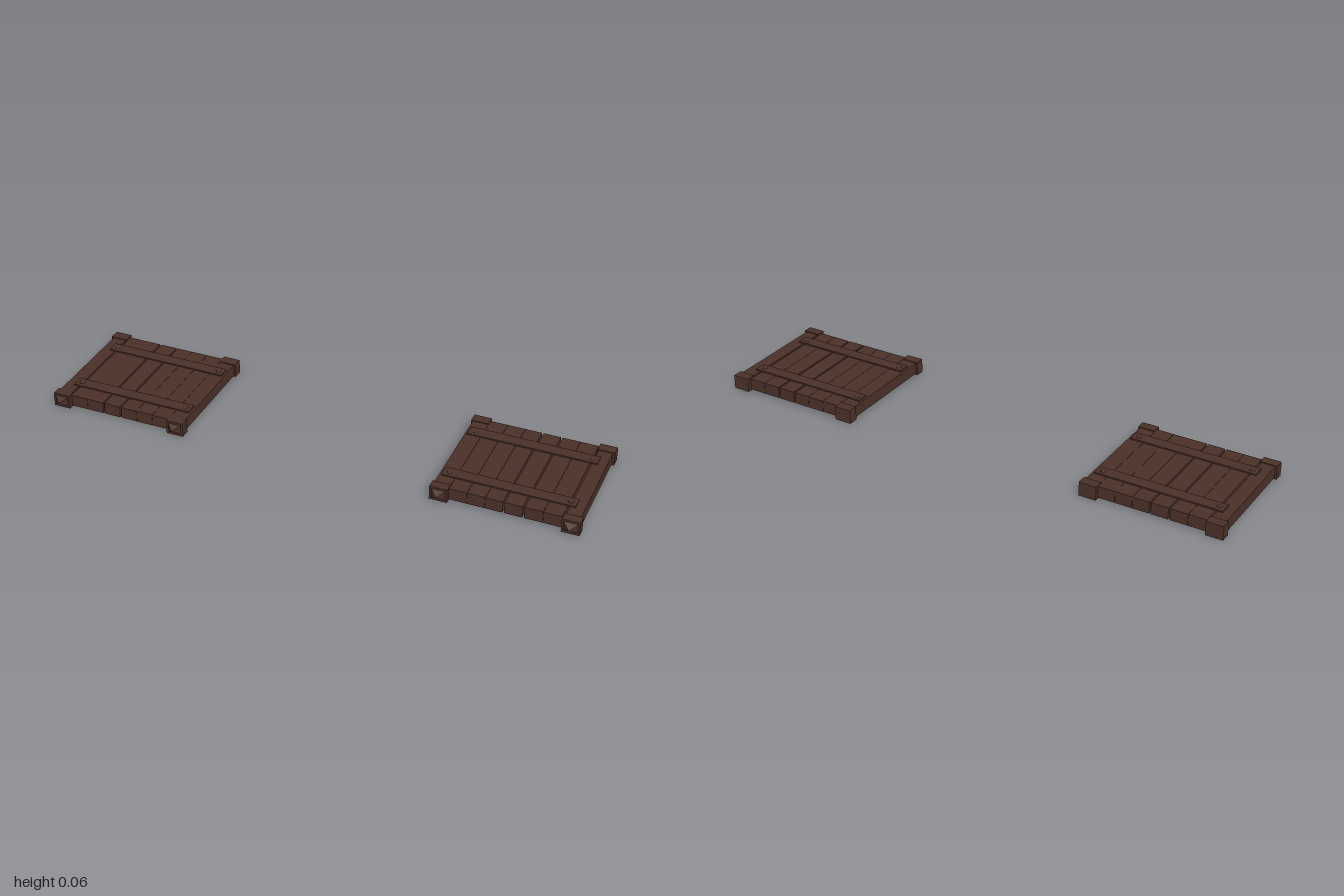
import * as THREE from 'three';

const wood = new THREE.MeshStandardMaterial({ color: 0x4a3028, flatShading: true });

function add(parent, name, geometry, x, y, z) {
  const mesh = new THREE.Mesh(geometry, wood);
  mesh.name = name;
  mesh.position.set(x, y, z);
  parent.add(mesh);
  return mesh;
}

// Box given by its minimum and maximum on each axis
function addBox(parent, name, [x0, x1], [y0, y1], [z0, z1]) {
  return add(parent, name, new THREE.BoxGeometry(x1 - x0, y1 - y0, z1 - z0),
    (x0 + x1) / 2, (y0 + y1) / 2, (z0 + z1) / 2);
}

// One plank panel on the +x side; side = -1 mirrors it
function createPanel(side) {
  const panel = new THREE.Group();
  panel.name = side > 0 ? 'leftPanel' : 'rightPanel';
  const spanX = (a, b) => (side > 0 ? [a, b] : [-b, -a]);

  // Planks running front to back: [joint position, gap width]
  const joints = [[0.476, 0], [0.535, 0.001], [0.6, 0.001], [0.665, 0.001],
    [0.73, 0.006], [0.8, 0.006], [0.868, 0.001], [0.937, 0.007], [0.992, 0]];
  for (let i = 0; i < joints.length - 1; i++) {
    const [a, gapA] = joints[i], [b, gapB] = joints[i + 1];
    addBox(panel, 'plank', spanX(a + gapA / 2, b - gapB / 2), [0.006, 0.05], [-0.235, 0.21]);
  }

  // Cross battens with a bolt near each end
  for (const z of [0.123, -0.145]) {
    addBox(panel, 'batten', spanX(0.485, 0.96), [0.049, 0.055], [z - 0.023, z + 0.023]);
    for (const x of [0.508, 0.937]) {
      const dome = new THREE.SphereGeometry(0.01, 10, 4, 0, Math.PI * 2, 0, Math.PI / 2);
      dome.scale(1, 0.35, 1);
      add(panel, 'bolt', dome, side * x, 0.055, z);
    }
  }

  // Corner blocks, with pointed studs on the front pair
  for (const [a, b] of [[0.47, 0.535], [0.936, 1]]) {
    addBox(panel, 'frontCornerBlock', spanX(a, b), [0, 0.053], [0.19, 0.225]);
    addBox(panel, 'backCornerBlock', spanX(a, b), [0, 0.053], [-0.248, -0.21]);
    const stud = new THREE.ConeGeometry(Math.SQRT1_2, 1, 4);
    stud.rotateY(Math.PI / 4);
    stud.rotateX(Math.PI / 2);
    stud.scale(0.05, 0.036, 0.023);
    add(panel, 'frontStud', stud, side * (a + b) / 2, 0.027, 0.2365);
  }
  return panel;
}

export function createModel() {
  const model = new THREE.Group();
  model.name = 'plankPanels';
  model.add(createPanel(1), createPanel(-1));
  return model;
}
